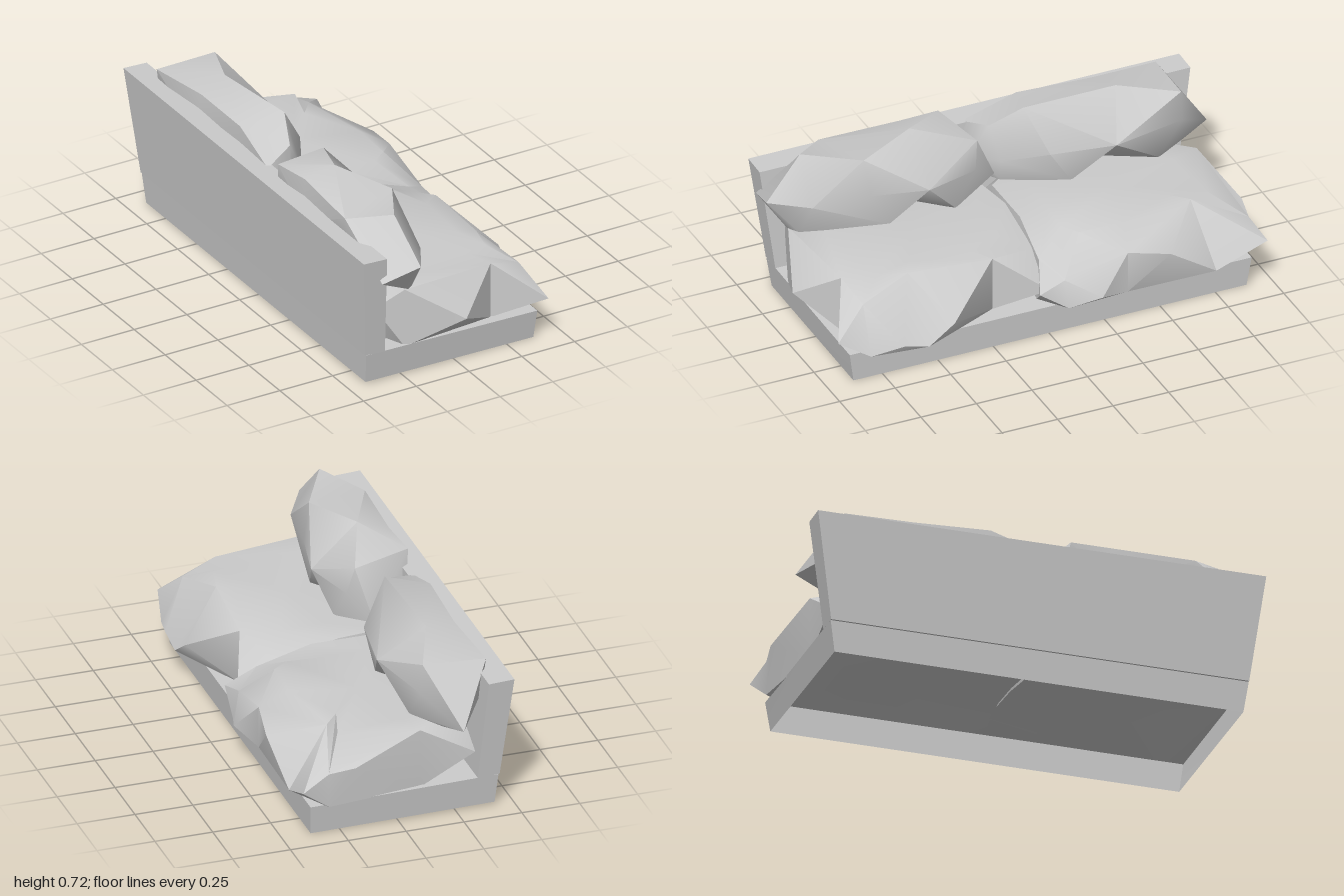
import * as THREE from 'three';
import { toCreasedNormals } from 'three/addons/utils/BufferGeometryUtils.js';

const grey = new THREE.MeshStandardMaterial({ color: 0xcccccc, side: THREE.DoubleSide });
const { lerp } = THREE.MathUtils;

function addMesh(group, name, geometry) {
  const mesh = new THREE.Mesh(geometry, grey);
  mesh.name = name;
  group.add(mesh);
}

// Collects triangles into a softly shaded geometry with kept creases.
function fromTriangles(build) {
  const pos = [];
  build((...pts) => pts.forEach((p) => pos.push(...p)));
  const geo = new THREE.BufferGeometry();
  geo.setAttribute('position', new THREE.Float32BufferAttribute(pos, 3));
  return toCreasedNormals(geo, 0.75);
}

// Pillow: rings along z (counterclockwise from the front), closed by a tip at each end.
// Each quad is split along the diagonal that bulges furthest from the pillow's axis.
function pillow(rings, startTip, endTip) {
  const bulge = (p, q) => Math.hypot((p[0] + q[0]) / 2 + 0.23, (p[1] + q[1]) / 2 - 0.54);
  return fromTriangles((tri) => {
    const n = rings[0].length;
    const first = rings[0], last = rings[rings.length - 1];
    for (let i = 0; i < n; i++) {
      const j = (i + 1) % n;
      tri(startTip, first[j], first[i]);
      for (let k = 0; k < rings.length - 1; k++) {
        const a = rings[k], b = rings[k + 1];
        if (bulge(a[j], b[i]) > bulge(a[i], b[j])) {
          tri(a[i], a[j], b[i]);
          tri(a[j], b[j], b[i]);
        } else {
          tri(a[i], a[j], b[j]);
          tri(a[i], b[j], b[i]);
        }
      }
      tri(last[i], last[j], endTip);
    }
  });
}

// Seat cushion: rim tips with a fold between each pair, running from a top point down to a foot on the base.
// Each fold is [x, y, z, flare]; flare moves its foot out to the line between the two tips.
function seatCushion(tips, folds, cz) {
  const n = tips.length;
  const cx = 0.02;
  const tops = folds.map((f) => f.slice(0, 3));
  const plateau = tops.map(([x, , z]) => [lerp(x, cx, 0.3), 0.388, lerp(z, cz, 0.3)]);
  const feet = folds.map(([x, , z, flare = 0], i) => {
    const a = tips[i], b = tips[(i + 1) % n];
    return [lerp(x, (a[0] + b[0]) / 2, flare), 0.13, lerp(z, (a[2] + b[2]) / 2, flare)];
  });
  return fromTriangles((tri) => {
    for (let i = 0; i < n; i++) {
      const j = (i + 1) % n;
      tri(tips[i], feet[i], tops[i]);
      tri(feet[i], tips[j], tops[i]);
      tri(tips[j], tops[j], tops[i]);
      tri(tips[j], feet[i], feet[j]);
      tri(tops[i], tops[j], plateau[i]);
      tri(tops[j], plateau[j], plateau[i]);
      tri(plateau[i], plateau[j], [cx, 0.39, cz]);
      tri(feet[j], feet[i], [cx, 0.127, cz]);
    }
  });
}

// Tapered slab: profile corners in x,y (bottom left, bottom right, top left, top right) and z ends below and above.
function slab([bl, br, tl, tr], zBottom, zTop, openBottom = false) {
  const box = new THREE.BoxGeometry(1, 1, 1);
  const p = box.attributes.position;
  for (let i = 0; i < p.count; i++) {
    const right = p.getX(i) > 0, up = p.getY(i) > 0;
    const [x, y] = up ? (right ? tr : tl) : (right ? br : bl);
    const ends = up ? zTop : zBottom;
    p.setXYZ(i, x, y, ends[p.getZ(i) > 0 ? 1 : 0]);
  }
  if (openBottom) {
    const index = Array.from(box.index.array);
    index.splice(18, 6);
    box.setIndex(index);
  }
  box.computeVertexNormals();
  return box;
}

export function createModel() {
  const sofa = new THREE.Group();
  sofa.name = 'sofa';

  // Hollow base, open underneath
  addMesh(sofa, 'base', slab(
    [[-0.42, 0.01], [0.375, 0], [-0.43, 0.145], [0.382, 0.13]], [-0.89, 0.88], [-0.91, 0.9], true));

  // Leaning backrest
  addMesh(sofa, 'backrest', slab(
    [[-0.435, 0.147], [-0.34, 0.14], [-0.475, 0.61], [-0.365, 0.605]], [-0.91, 0.9], [-0.98, 0.96]));

  // Seat cushions
  addMesh(sofa, 'frontSeatCushion', seatCushion(
    [[-0.36, 0.32, 0.85], [0, 0.235, 0.98], [0.4, 0.21, 0.96], [0.46, 0.16, 0.69], [0.455, 0.21, 0.46],
      [0.385, 0.21, 0], [0.1, 0.26, -0.03], [-0.2, 0.26, -0.03], [-0.36, 0.25, 0.05], [-0.38, 0.24, 0.45]],
    [[-0.24, 0.395, 0.89], [0.19, 0.38, 0.85], [0.34, 0.33, 0.82, 1], [0.275, 0.385, 0.59, 1], [0.3, 0.37, 0.22],
      [0.22, 0.32, 0, 0.5], [-0.05, 0.385, 0], [-0.28, 0.38, 0.03], [-0.35, 0.37, 0.25], [-0.34, 0.37, 0.65]],
    0.46));
  addMesh(sofa, 'rearSeatCushion', seatCushion(
    [[-0.36, 0.25, -0.02], [-0.05, 0.25, 0.03], [0.2, 0.25, 0.01], [0.42, 0.22, 0.06], [0.47, 0.17, -0.2],
      [0.44, 0.28, -0.52], [0.43, 0.225, -0.96], [0.2, 0.3, -0.95], [-0.34, 0.25, -0.88], [-0.37, 0.25, -0.45]],
    [[-0.2, 0.385, -0.01], [0.07, 0.385, -0.01], [0.3, 0.31, 0.01, 0.5], [0.4, 0.25, -0.06, 0.6], [0.41, 0.315, -0.34],
      [0.24, 0.385, -0.7, 0.9], [0.31, 0.28, -0.93], [-0.1, 0.392, -0.885], [-0.34, 0.38, -0.65],
      [-0.34, 0.38, -0.2]],
    -0.45));

  // Back pillows: each ring runs bottom, lower front, front, top, upper back, back
  addMesh(sofa, 'frontBackPillow', pillow([
    [[-0.25, 0.4, 0.08], [-0.1, 0.385, 0.2], [-0.12, 0.53, 0.1], [-0.15, 0.65, 0.08], [-0.4, 0.67, 0.14], [-0.38, 0.46, 0.1]],
    [[-0.28, 0.39, 0.34], [-0.2, 0.4, 0.34], [-0.05, 0.535, 0.34], [-0.25, 0.72, 0.34], [-0.38, 0.68, 0.32], [-0.39, 0.5, 0.34]],
    [[-0.25, 0.385, 0.6], [-0.1, 0.385, 0.5], [-0.1, 0.54, 0.58], [-0.13, 0.7, 0.6], [-0.4, 0.67, 0.68], [-0.39, 0.5, 0.6]],
    [[-0.23, 0.4, 0.9], [-0.19, 0.385, 0.86], [-0.13, 0.53, 0.83], [-0.255, 0.72, 0.83], [-0.33, 0.65, 0.82], [-0.39, 0.495, 0.965]],
  ], [-0.2, 0.44, -0.02], [-0.225, 0.545, 0.995]));
  addMesh(sofa, 'rearBackPillow', pillow([
    [[-0.2, 0.39, -0.88], [-0.11, 0.385, -0.72], [-0.12, 0.53, -0.83], [-0.13, 0.66, -0.83], [-0.4, 0.65, -0.84], [-0.38, 0.5, -0.84]],
    [[-0.28, 0.39, -0.5], [-0.2, 0.4, -0.5], [-0.045, 0.535, -0.5], [-0.23, 0.7, -0.58], [-0.37, 0.67, -0.53], [-0.39, 0.5, -0.55]],
    [[-0.25, 0.385, -0.2], [-0.1, 0.385, -0.32], [-0.085, 0.54, -0.22], [-0.2, 0.72, -0.15], [-0.38, 0.68, -0.2], [-0.38, 0.5, -0.2]],
    [[-0.28, 0.4, 0], [-0.2, 0.4, -0.05], [-0.18, 0.5, -0.04], [-0.25, 0.64, -0.02], [-0.39, 0.6, 0.04], [-0.38, 0.47, 0.03]],
  ], [-0.25, 0.415, -1], [-0.28, 0.5, 0.05]));

  return sofa;
}
